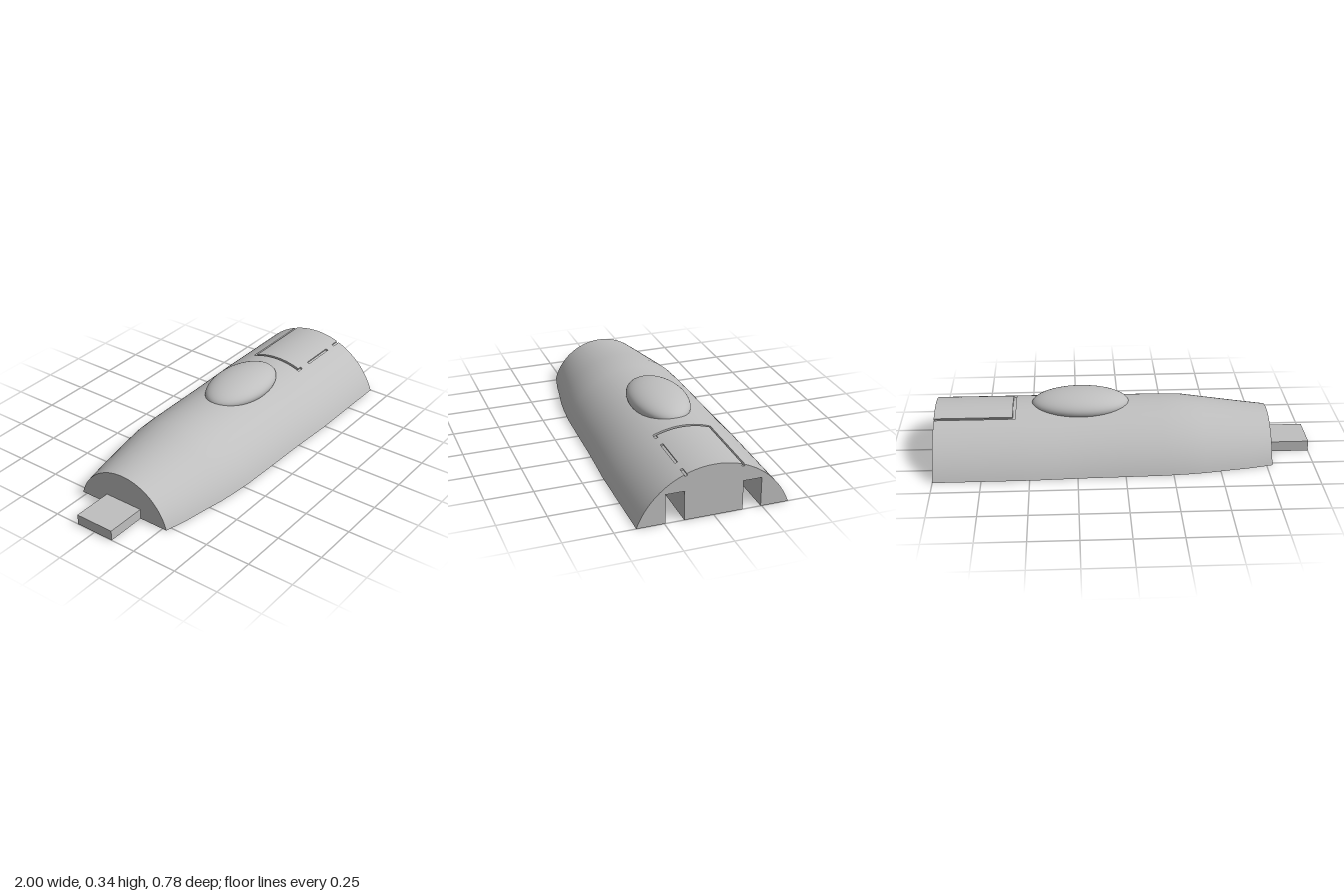
import * as THREE from 'three';
import { toCreasedNormals } from 'three/addons/utils/BufferGeometryUtils.js';

const grey = new THREE.MeshStandardMaterial({ color: 0xbfbfbf });
grey.name = 'plain grey';

// Hull stations: x, half width, crown height
const STATIONS = [
  [-0.78, 0.275, 0.21], [-0.66, 0.304, 0.224], [-0.54, 0.324, 0.24], [-0.42, 0.346, 0.256],
  [-0.32, 0.358, 0.27], [-0.2, 0.367, 0.272], [0, 0.372, 0.272], [0.2, 0.376, 0.272],
  [0.35, 0.382, 0.272], [0.48, 0.388, 0.273], [1, 0.39, 0.273],
];
const EPS = 0.0003;
const GROOVE_T = [0.284, 0.311];            // long groove, as a share of the arc
const GROOVE_X = [0.572, 0.587];            // cross groove
const DASHES = [[0.572, 0.61], [0.68, 0.88], [0.945, 1.1]];
const SLOT = { x0: 0.68, z0: 0.15, z1: 0.245, h: 0.156 };
const POCKETS = [[0.37, 0.545], [-0.41, -0.235]];
const POCKET_Z = 0.046;

const within = (v, [a, b]) => v > a && v < b;
const bothSides = (v) => [v - EPS, v + EPS];

function profile(x) {
  let i = 0;
  while (i < STATIONS.length - 2 && x > STATIONS[i + 1][0]) i++;
  const [x0, w0, h0] = STATIONS[i], [x1, w1, h1] = STATIONS[i + 1];
  const k = (x - x0) / (x1 - x0);
  return [w0 + (w1 - w0) * k, h0 + (h1 - h0) * k];
}

// Depth of the hatch outline: solid on one side, dashed on the other
function grooveDepth(x, t) {
  const a = Math.abs(t);
  const across = within(x, GROOVE_X) && a < GROOVE_T[1];
  const along = within(a, GROOVE_T) && x > GROOVE_X[0] && (t < 0 || DASHES.some((d) => within(x, d)));
  return across || along ? 0.01 : 0;
}

const COLUMNS = [];
for (let i = 0; i <= 48; i++) COLUMNS.push(-1 + i / 24);
for (const t of GROOVE_T) COLUMNS.push(...bothSides(t), ...bothSides(-t));
COLUMNS.sort((a, b) => a - b);

// Circular arc section as [z, y] points
function section(x) {
  const [w, h] = profile(x);
  const r = (w * w + h * h) / (2 * h);
  const half = Math.atan2(w, r - h);
  return COLUMNS.map((t) => {
    const d = r - grooveDepth(x, t);
    return [d * Math.sin(half * t), Math.max(0, d * Math.cos(half * t) - (r - h))];
  });
}

function shellGeometry() {
  const rows = STATIONS.map((s) => s[0]);
  for (const x of [...GROOVE_X, 0.61, 0.68, 0.88, 0.945]) rows.push(...bothSides(x));
  rows.sort((a, b) => a - b);
  const n = COLUMNS.length, pos = [], index = [];
  rows.forEach((x, i) => {
    for (const [z, y] of section(x)) pos.push(x, y, z);
    if (i === rows.length - 1) return;
    for (let j = 0; j < n - 1; j++) {
      const a = i * n + j, b = a + n;
      index.push(a, a + 1, b, a + 1, b + 1, b);
    }
  });
  const g = new THREE.BufferGeometry();
  g.setAttribute('position', new THREE.Float32BufferAttribute(pos, 3));
  g.setIndex(index);
  return toCreasedNormals(g, 0.5);
}

const toShape = (pts) => new THREE.Shape(pts.map(([x, y]) => new THREE.Vector2(x, y)));

function slotNotches() {
  const { z0, z1, h } = SLOT;
  const half = [[z1, 0], [z1, h], [z0, h], [z0, 0]];
  return [...half, ...half.map(([z, y]) => [-z, y]).reverse()];
}

// Underside with slot notches and pocket holes
function floorGeometry() {
  const { x0, z0, z1 } = SLOT;
  const edge = STATIONS.map(([x, w]) => [x, w]);
  const notch = [[1, z1], [x0, z1], [x0, z0], [1, z0]];
  const half = [...edge, ...notch];
  const shape = toShape([...half, ...half.map(([x, z]) => [x, -z]).reverse()]);
  for (const [a, b] of POCKETS) {
    shape.holes.push(toShape([[a, -POCKET_Z], [a, POCKET_Z], [b, POCKET_Z], [b, -POCKET_Z]]));
  }
  return new THREE.ShapeGeometry(shape).rotateX(Math.PI / 2);
}

// Inside faces of a box-shaped recess, open below and optionally at the +x end
function cavityGeometry(x0, x1, z0, z1, h, openEnd) {
  const g = new THREE.BoxGeometry(x1 - x0, h, z1 - z0);
  g.translate((x0 + x1) / 2, h / 2, (z0 + z1) / 2);
  const all = Array.from(g.index.array);
  const faces = openEnd ? [1, 2, 4, 5] : [0, 1, 2, 4, 5];
  g.setIndex(faces.flatMap((f) => all.slice(f * 6, f * 6 + 6).reverse()));
  g.clearGroups();
  g.computeVertexNormals();
  return g;
}

export function createModel() {
  const model = new THREE.Group();
  model.name = 'model';
  const add = (name, geometry) => {
    const mesh = new THREE.Mesh(geometry, grey);
    mesh.name = name;
    model.add(mesh);
    return mesh;
  };

  // Hull skin, ends and underside
  add('hullShell', shellGeometry());
  add('wideEnd', new THREE.ShapeGeometry(toShape([...section(1), ...slotNotches()])).rotateY(Math.PI / 2))
    .position.x = 1;
  add('narrowEnd', new THREE.ShapeGeometry(toShape(section(-0.78))).rotateY(-Math.PI / 2))
    .position.x = -0.78;
  add('underside', floorGeometry());

  // Recesses
  const { x0, z0, z1, h } = SLOT;
  add('leftSlot', cavityGeometry(x0, 1, z0, z1, h, true));
  add('rightSlot', cavityGeometry(x0, 1, -z1, -z0, h, true));
  for (const [a, b] of POCKETS) add('pocket', cavityGeometry(a, b, -POCKET_Z, POCKET_Z, h, false));

  // Domed canopy
  const canopy = add('canopy', new THREE.SphereGeometry(1, 48, 32));
  canopy.scale.set(0.26, 0.076, 0.153);
  canopy.position.set(0.228, 0.265, 0);

  // Flat tongue at the narrow end
  add('tongue', new THREE.BoxGeometry(0.22, 0.056, 0.22)).position.set(-0.89, 0.028, 0);

  return model;
}
